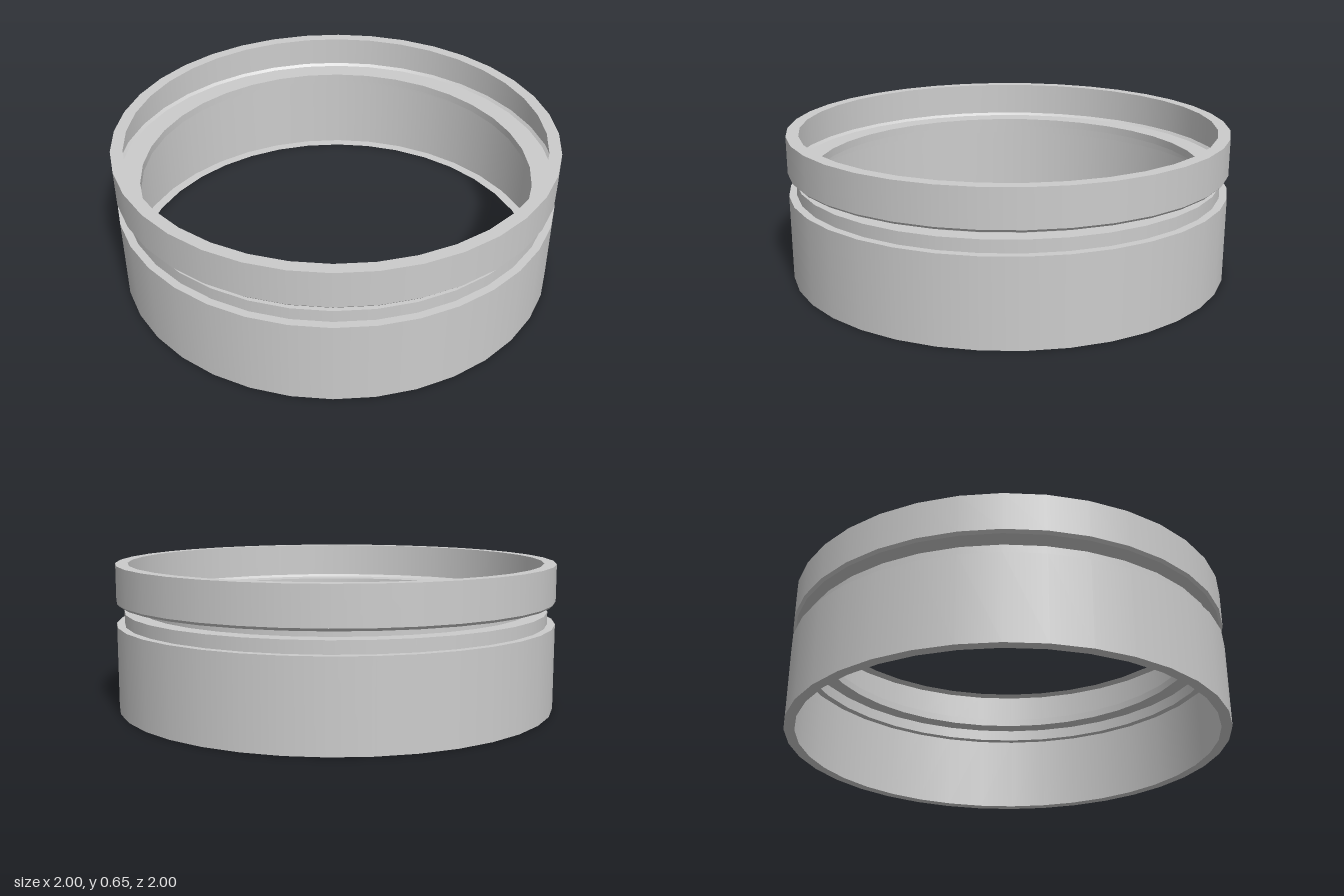
import * as THREE from 'three';

const SIDES = 36;

export function createModel() {
  const model = new THREE.Group();
  model.name = 'groovedRing';
  const grey = new THREE.MeshStandardMaterial({ color: 0xcccccc, side: THREE.DoubleSide });
  grey.name = 'light grey';

  // Each profile span becomes its own band, smooth around and crisp at the corners
  function shell(name, profile) {
    const part = new THREE.Group();
    part.name = name;
    for (let i = 0; i < profile.length - 1; i++) {
      const points = [profile[i], profile[i + 1]].map(([r, y]) => new THREE.Vector2(r, y));
      const band = new THREE.Mesh(new THREE.LatheGeometry(points, SIDES), grey);
      band.name = `${name}Band${i + 1}`;
      part.add(band);
    }
    model.add(part);
  }

  // Tall lower sleeve with its bottom lip and top ledge
  shell('lowerSleeve', [[0.953, 0], [1, 0], [1, 0.385], [0.965, 0.385]]);
  // Small step above the sleeve
  shell('step', [[0.965, 0.385], [0.965, 0.44], [0.888, 0.44]]);
  // Narrow neck inside the groove
  shell('neck', [[0.888, 0.44], [0.888, 0.477]]);
  // Upper collar with a chamfered lower edge and flat top lip
  shell('upperCollar', [[0.888, 0.477], [0.988, 0.477], [1, 0.489], [1, 0.655], [0.945, 0.655]]);

  return model;
}
